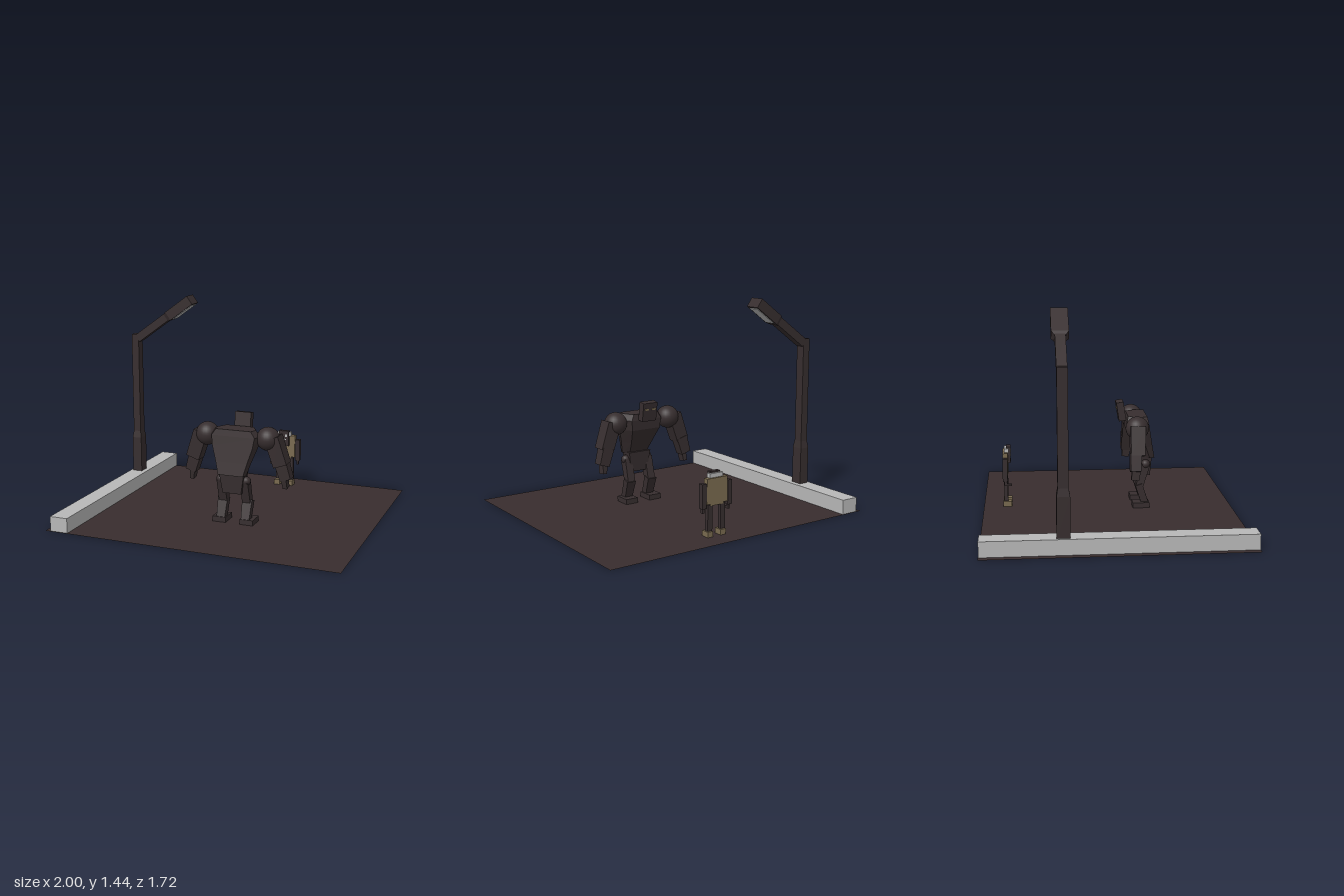
import * as THREE from 'three';

const mat = (name, color, extra = {}) => {
  const m = new THREE.MeshStandardMaterial({ color, ...extra });
  m.name = name;
  return m;
};

export function createModel() {
  const model = new THREE.Group();
  const asphalt = mat('asphalt', 0x382d2e, { side: THREE.DoubleSide });
  const iron = mat('darkIron', 0x372e2f);
  const concrete = mat('paleConcrete', 0xb8b8b8);
  const tan = mat('tanPaint', 0x7a6b50);

  const group = (name, x = 0, y = 0, z = 0) => {
    const g = new THREE.Group();
    g.name = name;
    g.position.set(x, y, z);
    model.add(g);
    return g;
  };
  const add = (parent, name, geo, material, x = 0, y = 0, z = 0) => {
    const m = new THREE.Mesh(geo, material);
    m.name = name;
    m.position.set(x, y, z);
    parent.add(m);
    return m;
  };
  const box = (parent, name, material, w, h, d, x, y, z) =>
    add(parent, name, new THREE.BoxGeometry(w, h, d), material, x, y, z);

  // Box whose bottom is w0 x d0 and top is w1 x d1
  const taper = (w0, d0, w1, d1, h) => {
    const geo = new THREE.BoxGeometry(1, h, 1).toNonIndexed();
    const p = geo.attributes.position;
    for (let i = 0; i < p.count; i++) {
      const top = p.getY(i) > 0;
      p.setX(i, p.getX(i) * (top ? w1 : w0));
      p.setZ(i, p.getZ(i) * (top ? d1 : d0));
    }
    geo.computeVertexNormals();
    return geo;
  };

  // Tapered limb from point a down to point b; sizes are [width, depth]
  const limb = (parent, name, material, a, b, sizeA, sizeB) => {
    const A = new THREE.Vector3(...a), B = new THREE.Vector3(...b);
    const dir = A.clone().sub(B);
    const m = add(parent, name, taper(...sizeB, ...sizeA, dir.length()), material);
    m.position.copy(A).add(B).multiplyScalar(0.5);
    m.quaternion.setFromUnitVectors(new THREE.Vector3(0, 1, 0), dir.normalize());
    return m;
  };

  // Faceted solid through six-sided rings: [y, half width, front z, back z]
  const loft = (rings) => {
    const pts = rings.map(([y, w, f, b]) => {
      const mid = f + (b - f) * 0.6;
      return [[w, mid], [0.7 * w, f], [-0.7 * w, f], [-w, mid], [-0.88 * w, b], [0.88 * w, b]]
        .map(([x, z]) => [x, y, z]);
    });
    const v = [];
    const tri = (...t) => t.forEach((q) => v.push(...q));
    for (let r = 0; r + 1 < pts.length; r++) {
      const a = pts[r], b = pts[r + 1];
      for (let i = 0; i < 6; i++) {
        const j = (i + 1) % 6;
        tri(a[i], a[j], b[j]);
        tri(a[i], b[j], b[i]);
      }
    }
    const lo = pts[0], hi = pts[pts.length - 1];
    for (let i = 1; i < 5; i++) {
      tri(hi[0], hi[i], hi[i + 1]);
      tri(lo[0], lo[i + 1], lo[i]);
    }
    const geo = new THREE.BufferGeometry();
    geo.setAttribute('position', new THREE.Float32BufferAttribute(v, 3));
    geo.computeVertexNormals();
    return geo;
  };

  // Street
  const street = group('street');
  add(street, 'road', new THREE.PlaneGeometry(2, 1.715).rotateX(-Math.PI / 2), asphalt);
  box(street, 'curb', concrete, 0.125, 0.1, 1.71, -0.9, 0.052, 0);

  // Street lamp
  const lamp = group('streetLamp', -0.909, 0, -0.344);
  add(lamp, 'poleBase', taper(0.07, 0.083, 0.07, 0.083, 0.27), iron, 0, 0.225, 0);
  add(lamp, 'poleTaper', taper(0.07, 0.083, 0.055, 0.066, 0.05), iron, 0, 0.385, 0);
  box(lamp, 'pole', iron, 0.055, 0.73, 0.066, 0, 0.775, 0);
  // Sloping arm: local y runs along the arm, local x points to its underside
  const arm = new THREE.Group();
  arm.name = 'lampArm';
  arm.position.set(0.009, 1.14, 0);
  arm.rotation.z = -THREE.MathUtils.degToRad(54.3);
  lamp.add(arm);
  box(arm, 'armBeam', iron, 0.058, 0.29, 0.066, 0.029, 0.135, 0);
  add(arm, 'headTaper', taper(0.058, 0.07, 0.07, 0.11, 0.03), iron, 0.034, 0.29, 0);
  box(arm, 'lampHead', iron, 0.07, 0.209, 0.11, 0.035, 0.4095, 0);
  box(arm, 'lightPanel', concrete, 0.006, 0.18, 0.084, 0.071, 0.408, 0);

  // Large hunched robot, facing -z
  const big = group('largeRobot', 0.093, 0, 0);
  add(big, 'torso', loft([
    [0.345, 0.1, 0.24, 0.325],
    [0.43, 0.125, 0.19, 0.308],
    [0.53, 0.16, 0.135, 0.29],
    [0.6, 0.172, 0.13, 0.278],
    [0.642, 0.14, 0.14, 0.27],
  ]), iron);
  add(big, 'pelvis', taper(0.13, 0.07, 0.175, 0.09, 0.14), iron, 0, 0.285, 0.262);
  const head = box(big, 'head', iron, 0.113, 0.13, 0.05, 0.01, 0.665, 0.098);
  head.rotation.x = -0.15;
  for (const s of [-1, 1]) {
    box(head, 'eye', tan, 0.03, 0.012, 0.006, s * 0.028, 0.02, -0.026);
  }
  for (const s of [-1, 1]) {
    add(big, 'shoulder', new THREE.SphereGeometry(0.079, 24, 16), iron, s * 0.215, 0.585, 0.19);
    limb(big, 'upperArm', iron, [s * 0.25, 0.6, 0.188], [s * 0.312, 0.415, 0.183], [0.1, 0.1], [0.095, 0.095]);
    limb(big, 'forearm', iron, [s * 0.305, 0.43, 0.17], [s * 0.34, 0.315, 0.166], [0.085, 0.075], [0.075, 0.07]);
    limb(big, 'hand', iron, [s * 0.328, 0.32, 0.172], [s * 0.335, 0.255, 0.163], [0.035, 0.058], [0.03, 0.052]);
    add(big, 'hip', new THREE.SphereGeometry(0.031, 16, 12), iron, s * 0.09, 0.302, 0.263);
    limb(big, 'thigh', iron, [s * 0.083, 0.3, 0.262], [s * 0.083, 0.14, 0.218], [0.055, 0.06], [0.058, 0.05]);
    limb(big, 'shin', iron, [s * 0.087, 0.16, 0.214], [s * 0.087, 0.02, 0.26], [0.07, 0.05], [0.058, 0.05]);
    box(big, 'foot', iron, 0.095, 0.036, 0.115, s * 0.097, 0.02, 0.228);
  }

  // Small robot, facing +z
  const small = group('smallRobot', 0.131, 0, -0.7);
  box(small, 'body', tan, 0.16, 0.165, 0.036, 0, 0.3, -0.006);
  box(small, 'waist', tan, 0.1, 0.02, 0.03, 0, 0.215, -0.006);
  box(small, 'headCap', concrete, 0.1, 0.03, 0.032, 0, 0.395, 0.003);
  box(small, 'face', iron, 0.075, 0.115, 0.03, 0, 0.362, 0.016);
  box(small, 'mouth', concrete, 0.035, 0.01, 0.004, 0, 0.355, 0.032);
  for (const s of [-1, 1]) {
    box(small, 'eye', concrete, 0.014, 0.018, 0.004, s * 0.018, 0.385, 0.032);
    box(small, 'arm', iron, 0.034, 0.16, 0.034, s * 0.1, 0.273, -0.007);
    box(small, 'hand', iron, 0.015, 0.032, 0.02, s * 0.1, 0.178, -0.004);
    box(small, 'leg', iron, 0.036, 0.17, 0.026, s * 0.05, 0.125, -0.003);
    box(small, 'foot', tan, 0.042, 0.036, 0.059, s * 0.05, 0.019, 0.007);
  }
  // Short tool held forward in the right hand
  box(small, 'tool', iron, 0.012, 0.012, 0.04, -0.1, 0.166, 0.018);

  return model;
}
